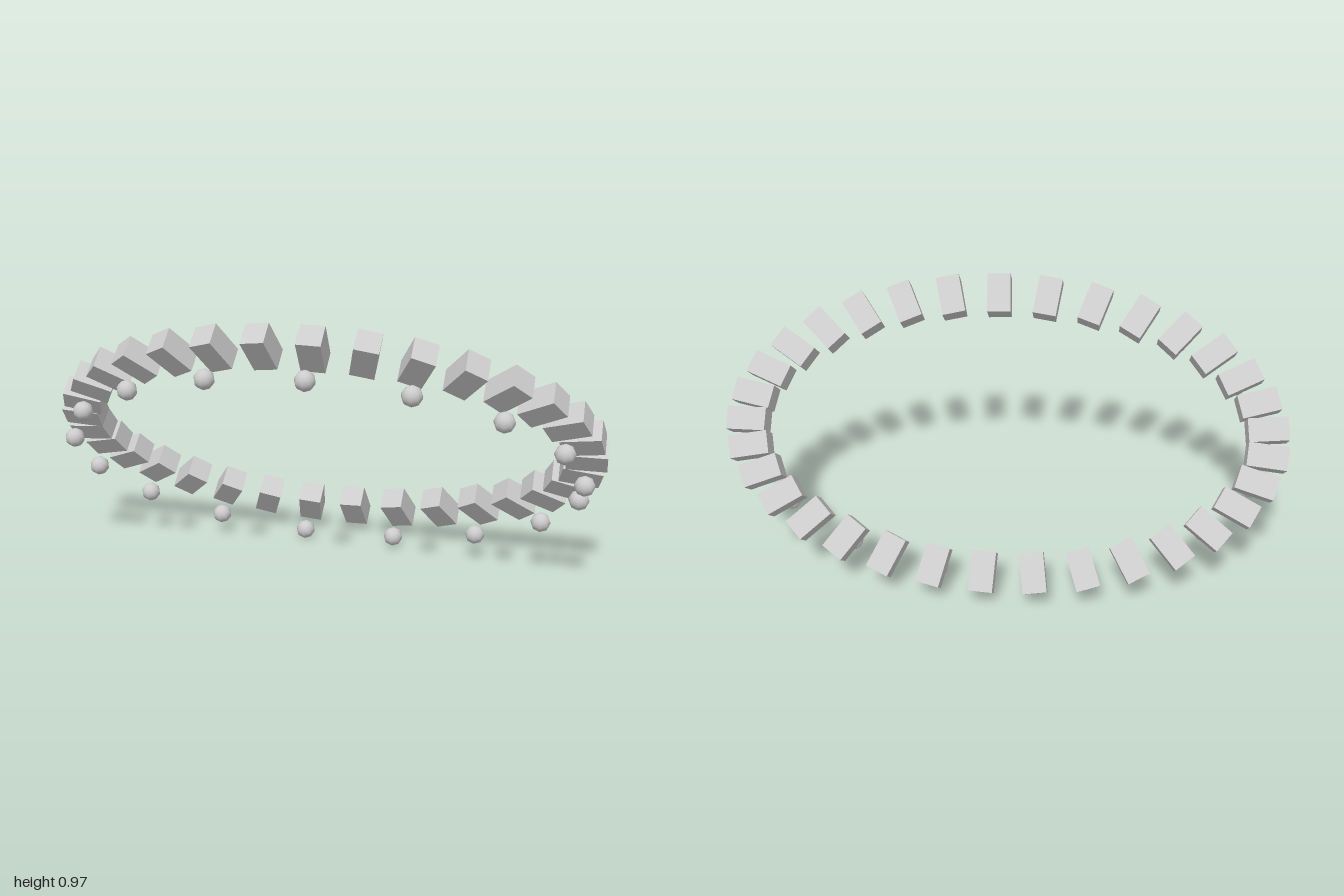
import * as THREE from 'three';

const COUNT = 33;            // blocks around the ring
const RX = 0.93, RY = 0.5;   // ellipse radii through the block centres

export function createModel() {
  const model = new THREE.Group();
  const material = new THREE.MeshStandardMaterial({ color: 0xcccccc });
  const blockGeometry = new THREE.BoxGeometry(0.14, 0.084, 0.085);
  const beadGeometry = new THREE.SphereGeometry(0.036, 8, 8);

  // Tilted plane that carries the whole ring
  const ring = new THREE.Group();
  ring.name = 'tiltedRing';
  ring.position.set(0, 0.504, -0.03);
  ring.rotation.x = 0.69;
  model.add(ring);

  for (let i = 0; i < COUNT; i++) {
    const angle = (i / COUNT) * Math.PI * 2;
    const x = RX * Math.cos(angle), y = RY * Math.sin(angle);

    // Ring block, its long side turned by the ring angle
    const block = new THREE.Mesh(blockGeometry, material);
    block.name = 'ringBlock';
    block.position.set(x, y, 0);
    block.rotation.z = angle;
    ring.add(block);

    // Bead floating in front of every second block
    if (i % 2 === 0) {
      const bead = new THREE.Mesh(beadGeometry, material);
      bead.name = 'bead';
      bead.position.set(x, y, 0.13);
      ring.add(bead);
    }
  }
  return model;
}
